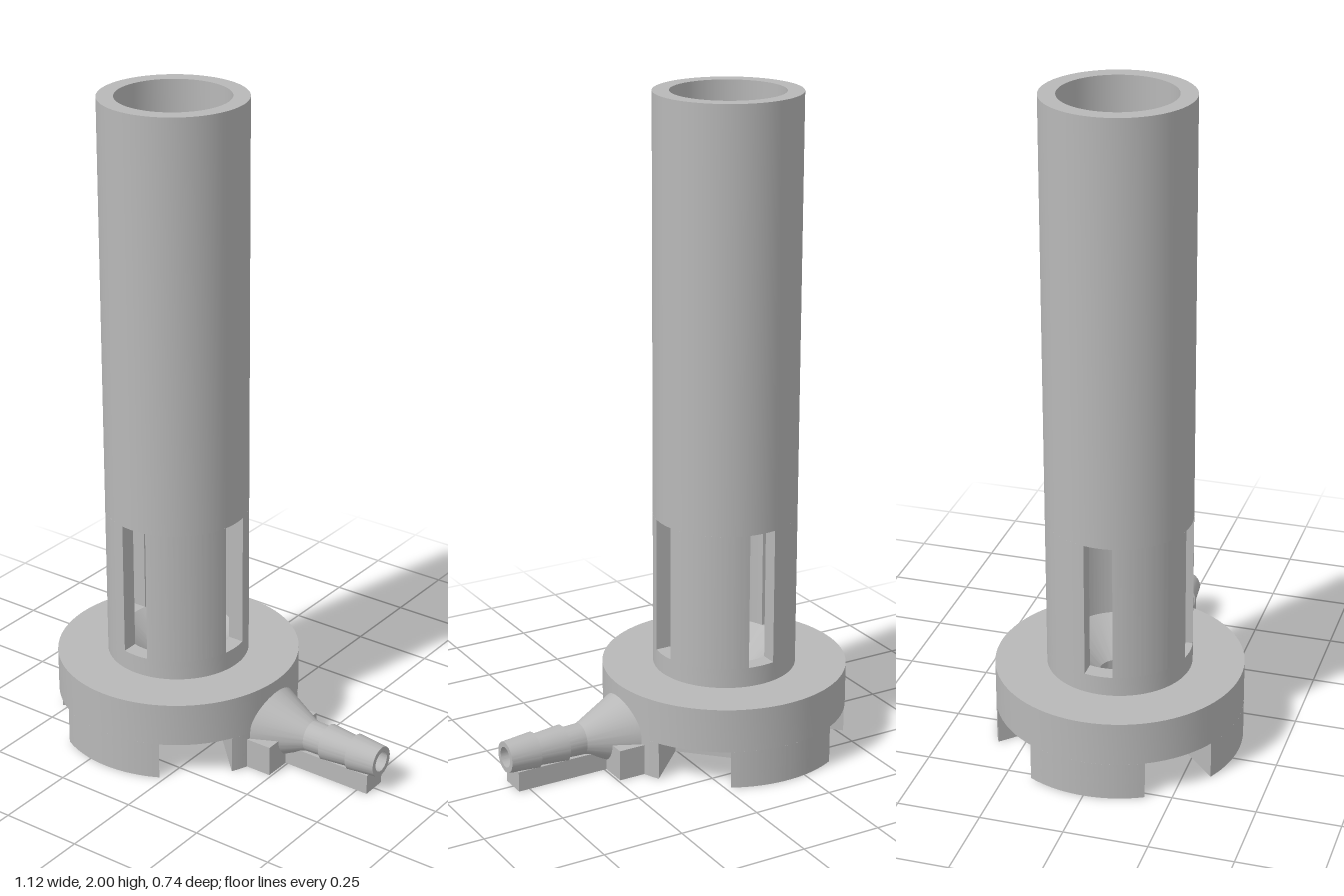
import * as THREE from 'three';
import { toCreasedNormals } from 'three/addons/utils/BufferGeometryUtils.js';

const CX = -0.19;                       // axis of base and tube
const BASE_R = 0.372, TUBE_R = 0.217, BORE_R = 0.168, DRAIN_R = 0.063;
const SLOT_LOW = 0.31, SLOT_HIGH = 0.73, SLOT_HALF = 0.0425;
const NOTCH_TOP = 0.115, NOTCH_HALF = 0.11, NOTCH_INNER = 0.165;

const smooth = (g) => toCreasedNormals(g, 0.35);

function lathe(points, segments = 96) {
  return new THREE.LatheGeometry(points.map(([r, y]) => new THREE.Vector2(r, y)), segments);
}

// Extrude a plan shape upward between two heights
function slab(shape, y0, y1) {
  const g = new THREE.ExtrudeGeometry(shape, { depth: y1 - y0, bevelEnabled: false, curveSegments: 28 });
  return smooth(g.rotateX(-Math.PI / 2).translate(0, y0, 0));
}

// Disc with four straight notches on the diagonals
function notchedDisc(hole) {
  const s = new THREE.Shape();
  const a = Math.asin(NOTCH_HALF / BASE_R);
  for (let k = 0; k < 4; k++) {
    const m = Math.PI / 4 + k * Math.PI / 2;
    for (const side of [-1, 1]) {
      const x = NOTCH_INNER * Math.cos(m) - side * NOTCH_HALF * Math.sin(m);
      const y = NOTCH_INNER * Math.sin(m) + side * NOTCH_HALF * Math.cos(m);
      if (k === 0 && side === -1) s.moveTo(x, y);
      else s.lineTo(x, y);
    }
    s.absarc(0, 0, BASE_R, m + a, m + Math.PI / 2 - a, false);
  }
  s.closePath();
  if (hole) s.holes.push(new THREE.Path().absarc(0, 0, DRAIN_R, 0, Math.PI * 2, true));
  return s;
}

// Quarter of the tube wall between two parallel-sided slots
function wallSector() {
  const o = Math.asin(SLOT_HALF / TUBE_R), i = Math.asin(SLOT_HALF / BORE_R);
  const s = new THREE.Shape();
  s.absarc(0, 0, TUBE_R, o, Math.PI / 2 - o, false);
  s.absarc(0, 0, BORE_R, Math.PI / 2 - i, i, true);
  s.closePath();
  return s;
}

export function createModel() {
  const model = new THREE.Group();
  const grey = new THREE.MeshStandardMaterial({ color: 0xb8b8b8 });
  grey.name = 'grey plastic';

  const add = (name, geometry, x = CX, y = 0, z = 0) => {
    const mesh = new THREE.Mesh(geometry, grey);
    mesh.name = name;
    mesh.position.set(x, y, z);
    model.add(mesh);
    return mesh;
  };

  // Base: notched foot below, round body with inner funnel above
  add('baseFloor', slab(notchedDisc(false), 0, 0.05));
  add('baseFoot', slab(notchedDisc(true), 0.05, NOTCH_TOP));
  add('baseBody', smooth(lathe([
    [DRAIN_R, NOTCH_TOP], [BASE_R, NOTCH_TOP], [BASE_R, 0.25], [TUBE_R, 0.25],
    [TUBE_R, SLOT_LOW], [BORE_R, SLOT_LOW], [DRAIN_R, 0.205], [DRAIN_R, NOTCH_TOP],
  ])));

  // Tube: four wall sectors leave the slots open, plain pipe above
  const sector = slab(wallSector(), SLOT_LOW, SLOT_HIGH);
  for (let k = 0; k < 4; k++) add('slottedWall', sector).rotation.y = k * Math.PI / 2;
  add('tube', smooth(lathe([
    [BORE_R, SLOT_HIGH], [TUBE_R, SLOT_HIGH], [TUBE_R, 2], [BORE_R, 2], [BORE_R, SLOT_HIGH],
  ])));

  // Barbed hose nozzle along +x, its underside kept above the floor
  const nozzle = lathe([
    [0.117, 0.165], [0.048, 0.31], [0.046, 0.37], [0.056, 0.37], [0.047, 0.465],
    [0.056, 0.465], [0.047, 0.558], [0.031, 0.558], [0.031, 0.165],
  ], 48).rotateZ(-Math.PI / 2).translate(0, 0.1, 0);
  const p = nozzle.attributes.position;
  for (let i = 0; i < p.count; i++) p.setY(i, Math.max(p.getY(i), 0.002));
  add('hoseNozzle', toCreasedNormals(nozzle, 0.2), 0);

  // Supports under the nozzle
  add('crossSupport', new THREE.BoxGeometry(0.093, 0.095, 0.25), 0.1965, 0.0475);
  add('longSupport', new THREE.BoxGeometry(0.335, 0.062, 0.08), 0.3675, 0.031);

  return model;
}
